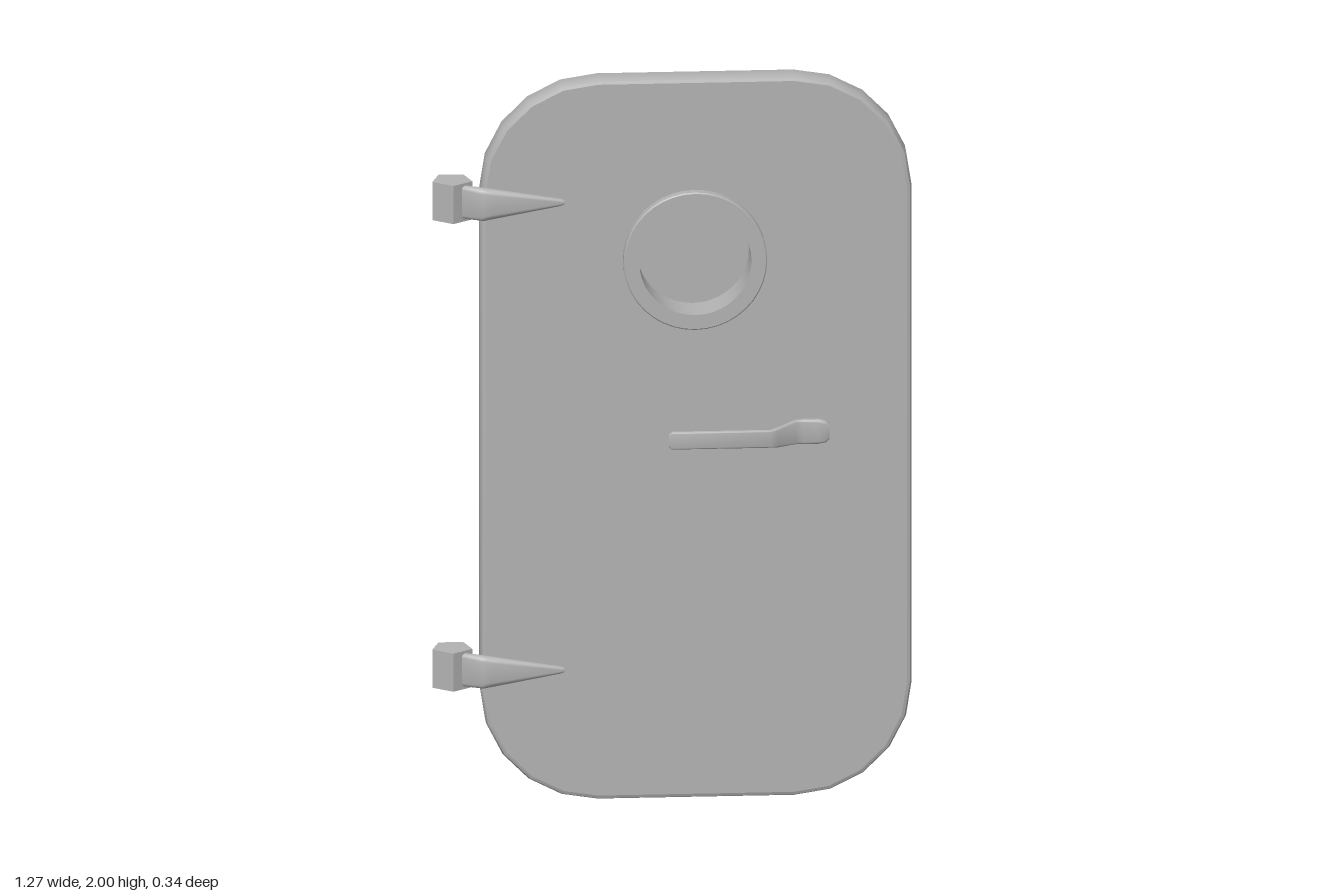
import * as THREE from 'three';
import { toCreasedNormals } from 'three/addons/utils/BufferGeometryUtils.js';

const CX = 0.062;                 // door centre in x
const PORT = { x: 0.058, y: 1.5 }; // porthole centre

// Rounded rectangle outline, counter-clockwise
function roundRect(hw, hh, r, seg = 5) {
  const pts = [];
  [[1, 1], [-1, 1], [-1, -1], [1, -1]].forEach(([sx, sy], k) => {
    for (let i = 0; i <= seg; i++) {
      const a = (k + i / seg) * Math.PI / 2;
      pts.push(new THREE.Vector2(sx * (hw - r) + r * Math.cos(a), sy * (hh - r) + r * Math.sin(a)));
    }
  });
  return pts;
}

// Skin over a series of rings, with optional flat ends
function loft(rings, capped, crease = 0.65) {
  const n = rings[0].length, pos = [], idx = [];
  rings.forEach(r => r.forEach(p => pos.push(p.x, p.y, p.z)));
  for (let i = 0; i < rings.length - 1; i++) {
    for (let j = 0; j < n; j++) {
      const a = i * n + j, b = i * n + (j + 1) % n;
      idx.push(a, a + n, b, b, a + n, b + n);
    }
  }
  if (capped) {
    [0, rings.length - 1].forEach((i, end) => {
      const c = new THREE.Vector3();
      rings[i].forEach(p => c.addScaledVector(p, 1 / n));
      const ci = pos.length / 3;
      pos.push(c.x, c.y, c.z);
      for (let j = 0; j < n; j++) {
        const a = i * n + j, b = i * n + (j + 1) % n;
        if (end) idx.push(ci, b, a); else idx.push(ci, a, b);
      }
    });
  }
  const g = new THREE.BufferGeometry();
  g.setAttribute('position', new THREE.Float32BufferAttribute(pos, 3));
  g.setIndex(idx);
  return toCreasedNormals(g, crease);
}

// Door ring: [z, half width, half height, corner radius]
const doorRing = ([z, hw, hh, r]) =>
  roundRect(hw, hh, r).map(p => new THREE.Vector3(p.x + CX, p.y + 1, z));

// Flat door face with the porthole opening
function doorFace([z, hw, hh, r], back) {
  const shape = new THREE.Shape(roundRect(hw, hh, r).map(p => new THREE.Vector2(p.x + CX, p.y + 1)));
  const hole = new THREE.Path();
  hole.absarc(PORT.x, PORT.y, 0.17, 0, Math.PI * 2, true);
  shape.holes.push(hole);
  const g = new THREE.ShapeGeometry(shape, 32);
  if (back) { // turn over about the porthole's vertical axis, undoing the flip in x
    const idx = g.index.array;
    for (let i = 0; i < idx.length; i += 3) [idx[i + 1], idx[i + 2]] = [idx[i + 2], idx[i + 1]];
    g.computeVertexNormals();
  }
  return g.translate(0, 0, z);
}

// Bar along x from stations [x, z, half thickness, half height]
const bar = (stations, round) => loft(stations.map(([x, z, t, h]) =>
  roundRect(t, h, Math.min(t, h) * round, 3).map(p => new THREE.Vector3(x, p.y, z + p.x))), true);

export function createModel() {
  const model = new THREE.Group();
  model.name = 'hatchDoor';
  const grey = new THREE.MeshStandardMaterial({ color: 0xb2b2b2 });
  grey.name = 'painted steel grey';
  const add = (name, geo, parent = model) => {
    const m = new THREE.Mesh(geo, grey);
    m.name = name;
    parent.add(m);
    return m;
  };

  // Slab with softened edges and a recessed flange behind its lip
  const slab = [
    [0.09, 0.560, 0.988, 0.300], [0.087, 0.568, 0.996, 0.308], [0.078, 0.573, 1, 0.312],
    [0.026, 0.573, 1, 0.312], [0.016, 0.568, 0.996, 0.308], [0.012, 0.560, 0.988, 0.300],
    [0.012, 0.528, 0.955, 0.268], [0.030, 0.520, 0.947, 0.260], [0.030, 0.460, 0.890, 0.16],
  ];
  add('doorSlab', loft(slab.map(doorRing)));
  add('doorFront', doorFace(slab[0], false));

  // Tapered panel on the back
  const panel = [
    [0.031, 0.464, 0.895, 0.14], [0.012, 0.458, 0.89, 0.135], [-0.083, 0.425, 0.862, 0.105],
    [-0.093, 0.420, 0.858, 0.10], [-0.097, 0.410, 0.848, 0.09],
  ];
  add('backPanel', loft(panel.map(doorRing)));
  add('backPanelFace', doorFace(panel[panel.length - 1], true));

  // Porthole frame running through the door, with a pane in the middle
  const profile = [[0.149, -0.11], [0.188, -0.11], [0.191, -0.107], [0.191, 0.114],
    [0.188, 0.117], [0.149, 0.117], [0.149, -0.11]].map(p => new THREE.Vector2(...p));
  const frame = new THREE.LatheGeometry(profile, 40).rotateX(Math.PI / 2);
  add('portholeFrame', toCreasedNormals(frame, 0.5)).position.set(PORT.x, PORT.y, 0);
  const pane = new THREE.CylinderGeometry(0.152, 0.152, 0.008, 40).rotateX(Math.PI / 2);
  add('portholePane', pane).position.set(PORT.x, PORT.y, 0.005);

  // Cranked lever handle, one on each face
  const lever = bar([
    [-0.015, 0.163, 0.004, 0.018], [-0.008, 0.163, 0.007, 0.024], [0.255, 0.163, 0.007, 0.024],
    [0.275, 0.151, 0.009, 0.027], [0.325, 0.107, 0.010, 0.033], [0.345, 0.104, 0.010, 0.034],
    [0.385, 0.103, 0.012, 0.034], [0.405, 0.103, 0.012, 0.030], [0.415, 0.103, 0.009, 0.020],
  ], 0.6);
  add('frontHandle', lever).position.set(0, 1.018, 0);
  const backHandle = add('backHandle', lever);
  backHandle.position.set(0, 1.018, -0.004);
  backHandle.rotation.x = Math.PI;

  // Hinges: five-sided knuckle and a tapering strap
  const knuckle = new THREE.CylinderGeometry(0.056, 0.056, 0.106, 5).toNonIndexed();
  knuckle.computeVertexNormals();
  const strap = bar([
    [-0.575, 0.062, 0.010, 0.046], [-0.505, 0.096, 0.016, 0.046],
    [-0.48, 0.095, 0.016, 0.042], [-0.30, 0.092, 0.009, 0.010], [-0.288, 0.091, 0.006, 0.006],
  ], 0.95);
  for (const [name, y] of [['upperHinge', 1.664], ['lowerHinge', 0.364]]) {
    const hinge = new THREE.Group();
    hinge.name = name;
    hinge.position.y = y;
    add('hingeKnuckle', knuckle, hinge).position.set(-0.584, 0, 0.042);
    add('hingeStrap', strap, hinge);
    model.add(hinge);
  }
  return model;
}
